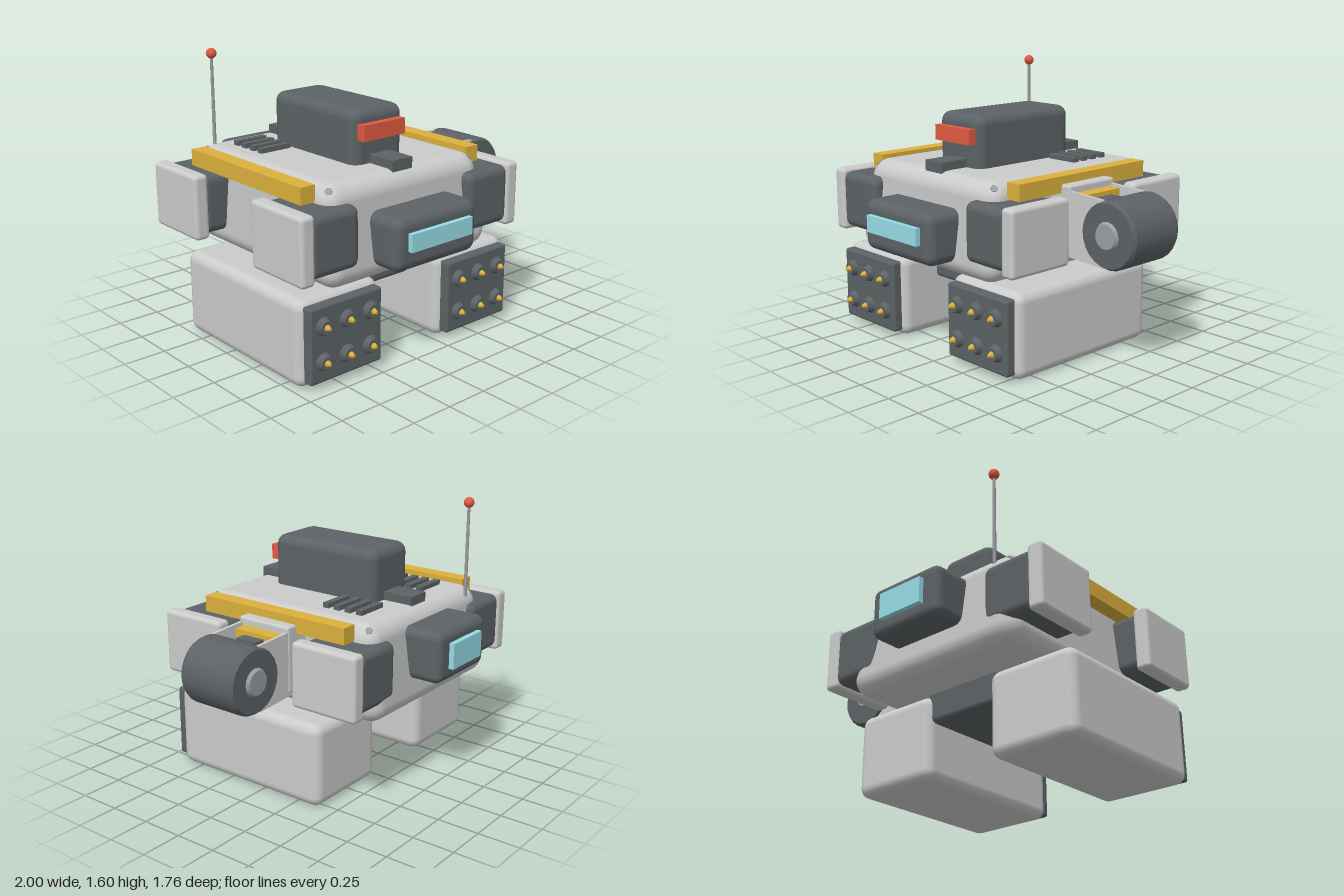
import * as THREE from 'three';
import { RoundedBoxGeometry } from 'three/addons/geometries/RoundedBoxGeometry.js';

const mat = (color) => new THREE.MeshStandardMaterial({ color });
const CX = -0.2; // hull centre line

export function createModel() {
  const model = new THREE.Group();
  const grey = mat(0xcccccc), dark = mat(0x5c6265), yellow = mat(0xdcb03c);
  const red = mat(0xe05a42), cyan = mat(0x96dce6), steel = mat(0x9a9da2);

  const add = (name, geo, material, x = 0, y = 0, z = 0, parent = model) => {
    const mesh = new THREE.Mesh(geo, material);
    mesh.name = name;
    mesh.position.set(x, y, z);
    parent.add(mesh);
    return mesh;
  };
  // Box given by its limits; r > 0 rounds the edges
  const block = (name, material, [x0, x1], [y0, y1], [z0, z1], r = 0, parent = model) => {
    const w = x1 - x0, h = y1 - y0, d = z1 - z0;
    const geo = r ? new RoundedBoxGeometry(w, h, d, 3, r) : new THREE.BoxGeometry(w, h, d);
    return add(name, geo, material, (x0 + x1) / 2, (y0 + y1) / 2, (z0 + z1) / 2, parent);
  };

  // Hull: rounded box narrowing toward the top
  const hullGeo = new RoundedBoxGeometry(1.2, 0.55, 1.35, 4, 0.1);
  const p = hullGeo.attributes.position;
  for (let i = 0; i < p.count; i++) {
    const t = Math.min(1, Math.max(0, (p.getY(i) + 0.175) / 0.45));
    p.setX(i, p.getX(i) * (1 - 0.07 * t));
    p.setZ(i, p.getZ(i) * (1 - 0.1 * t));
  }
  add('hull', hullGeo, grey, CX, 0.775, 0);
  block('undercarriage', dark, [-0.46, 0.06], [0.33, 0.54], [-0.38, 0.38], 0.03);

  // Front and rear sensor housings
  block('frontSensor', dark, [-0.5, 0.11], [0.58, 0.88], [0.5, 0.85], 0.06);
  block('frontLens', cyan, [-0.42, 0.03], [0.7, 0.8], [0.82, 0.88]);
  block('rearSensor', dark, [-0.45, 0.05], [0.68, 0.98], [-0.85, -0.5], 0.05);
  block('rearLens', cyan, [-0.35, -0.05], [0.76, 0.91], [-0.88, -0.82]);

  // Cabin on the roof, with a raised spine under it
  block('cabin', dark, [-0.38, -0.015], [0.96, 1.355], [-0.355, 0.38], 0.06);
  block('cabinVisor', red, [-0.35, -0.05], [1.19, 1.28], [0.36, 0.425]);
  block('roofSpine', dark, [-0.27, -0.125], [1.03, 1.1], [-0.545, 0.565]);

  for (const s of [-1, 1]) {
    // Mirrored limits about the hull centre line
    const span = (a, b) => [CX + Math.min(s * a, s * b), CX + Math.max(s * a, s * b)];

    block('roofRail', yellow, span(0.56, 0.655), [0.96, 1.055], [-0.5, 0.51]);
    for (let i = 0; i < 4; i++) {
      const z = -0.415 + i * 0.077;
      block('roofVent', dark, span(0.2, 0.405), [1.03, 1.078], [z - 0.02, z + 0.02]);
    }

    // Corner pods with armour plates, and roof bolts
    for (const f of [-1, 1]) {
      const z = f * 0.475 + 0.01;
      block('cornerPod', dark, span(0.4, 0.74), [0.61, 0.955], [z - 0.205, z + 0.205], 0.05);
      block('armourPlate', grey, span(0.71, 0.802), [0.59, 0.97], [z - 0.215, z + 0.215], 0.025);
      const bolt = add('roofBolt', new THREE.CylinderGeometry(0.022, 0.022, 0.03, 6), steel,
        CX + s * 0.51, 1.013, f * 0.56);
      bolt.rotation.set(f * 0.65, 0, -s * 0.65);
    }

    // Launcher pod: casing, face plate and six tubes
    const pod = new THREE.Group();
    pod.name = 'launcherPod';
    pod.position.x = CX + s * 0.497;
    model.add(pod);
    block('podCasing', grey, [-0.28, 0.28], [0, 0.495], [-0.415, 0.635], 0.06, pod);
    block('podFace', dark, [-0.245, 0.245], [0.035, 0.465], [0.55, 0.685], 0.015, pod);
    for (let c = -1; c <= 1; c++) {
      for (const y of [0.155, 0.355]) {
        const x = c * 0.159;
        const collar = add('tubeCollar', new THREE.CylinderGeometry(0.038, 0.056, 0.04, 12), dark, x, y, 0.697, pod);
        const tip = add('missileTip', new THREE.CylinderGeometry(0.009, 0.022, 0.03, 10), yellow, x, y, 0.726, pod);
        collar.rotation.x = tip.rotation.x = Math.PI / 2;
      }
    }
  }

  // Antenna at the rear right corner
  add('antennaRod', new THREE.CylinderGeometry(0.009, 0.011, 0.57, 8), steel, -0.63, 1.285, -0.6);
  add('antennaTip', new THREE.SphereGeometry(0.031, 16, 12), red, -0.63, 1.57, -0.6);

  // Side arm carrying a drum on the left flank
  const arm = new THREE.Group();
  arm.name = 'drumArm';
  arm.position.z = 0.01;
  model.add(arm);
  block('armMount', grey, [0.3, 0.52], [0.62, 1.01], [-0.18, 0.18], 0.015, arm);
  block('armCrossPlate', yellow, [0.51, 0.6], [0.9, 0.965], [-0.135, 0.135], 0, arm);
  block('armBlock', dark, [0.58, 0.67], [0.72, 0.94], [-0.07, 0.07], 0, arm);
  const cheek = new THREE.Shape();
  cheek.moveTo(0.4, 0.61);
  cheek.lineTo(0.76, 0.59);
  cheek.lineTo(0.76, 0.967);
  cheek.lineTo(0.4, 0.985);
  cheek.closePath();
  for (const z of [-0.175, 0.155]) {
    add('armCheek', new THREE.ExtrudeGeometry(cheek, { depth: 0.02, bevelEnabled: false }), grey, 0, 0, z, arm);
  }
  const strut = add('armStrut', new THREE.CylinderGeometry(0.035, 0.035, 0.25, 8), steel, 0.465, 0.572, 0.005, arm);
  strut.rotation.z = Math.PI / 2;

  // Drum with bevelled rims and a hub cap on each face
  const drum = add('drum', new THREE.CylinderGeometry(0.193, 0.193, 0.33, 24, 1, true), dark, 0.803, 0.78, 0, arm);
  drum.rotation.x = Math.PI / 2;
  for (const s of [-1, 1]) {
    const rim = add('drumRim', new THREE.CylinderGeometry(0.18, 0.193, 0.022, 24), dark, 0, s * 0.176, 0, drum);
    const hub = add('hubCap', new THREE.CylinderGeometry(0.07, 0.085, 0.025, 16), steel, 0, s * 0.193, 0, drum);
    if (s < 0) rim.rotation.x = hub.rotation.x = Math.PI;
  }
  return model;
}
